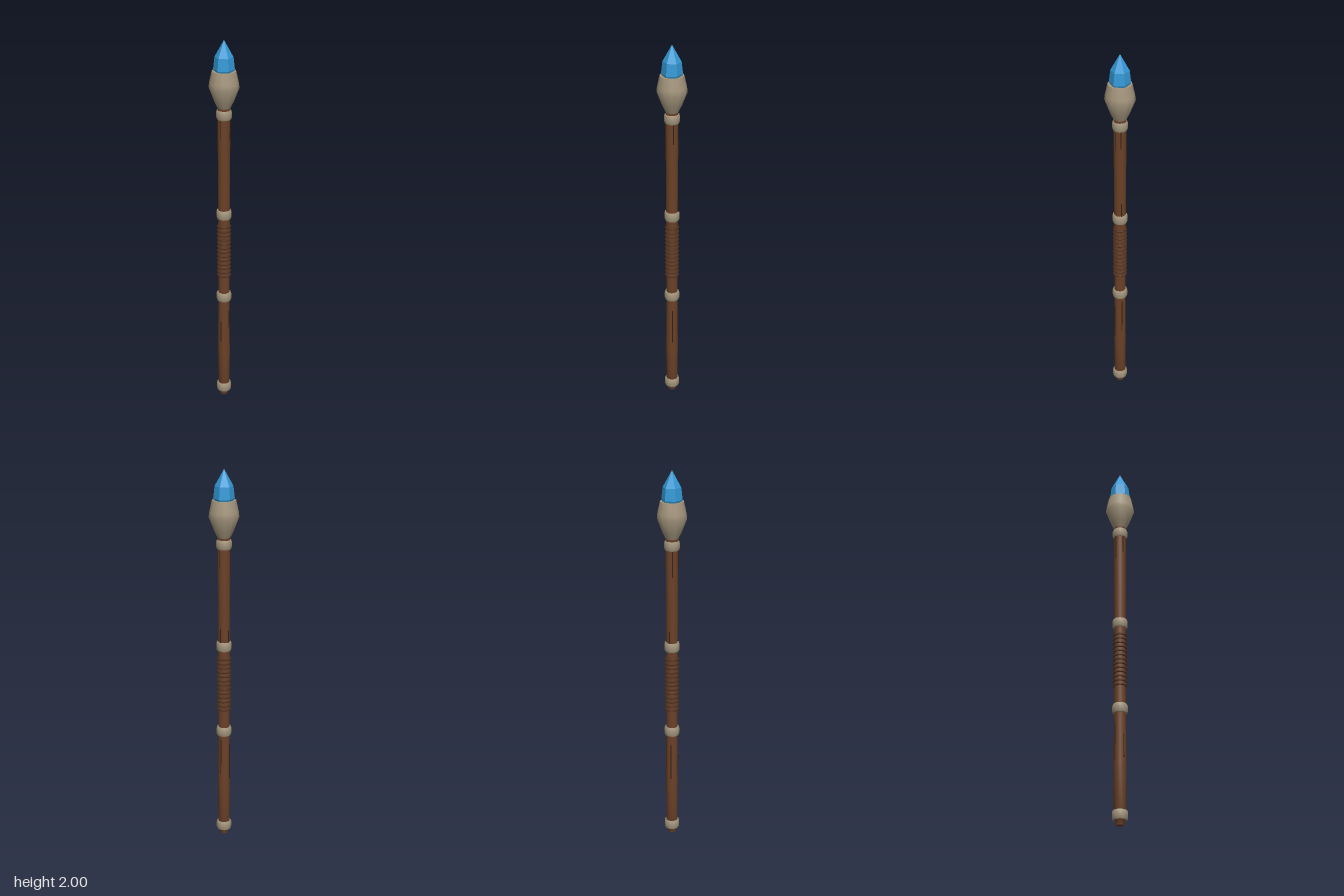
import * as THREE from 'three';
import { toCreasedNormals } from 'three/addons/utils/BufferGeometryUtils.js';

const material = (color, flatShading = false) => new THREE.MeshStandardMaterial({ color, flatShading });
const wood = material(0x6b4128);
const darkWood = material(0x3a2316);
const leather = material(0x54331f);
const bone = material(0xa3957c);
const crystalBlue = material(0x3399d6, true);

// Turned part from [radius, height] pairs, listed bottom to top
function turned(name, profile, sides, mat, crease = 0.7) {
  const points = profile.map(([r, y]) => new THREE.Vector2(r, y));
  const geometry = toCreasedNormals(new THREE.LatheGeometry(points, sides), crease);
  const mesh = new THREE.Mesh(geometry, mat);
  mesh.name = name;
  return mesh;
}

export function createModel() {
  const staff = new THREE.Group();
  staff.name = 'staff';

  // Shaft with a stepped foot
  staff.add(turned('shaft', [[0, 0], [0.021, 0], [0.024, 0.02], [0.031, 0.03], [0.032, 0.3],
    [0.03, 0.65], [0.03, 1.0], [0.031, 1.3], [0.033, 1.66], [0, 1.66]], 12, wood));

  // Bone collars
  for (const y of [0.05, 0.605, 1.08, 1.62]) {
    const collar = turned('collar', [[0.029, -0.024], [0.036, -0.024], [0.04, -0.014],
      [0.04, 0.014], [0.036, 0.024], [0.029, 0.024]], 12, bone);
    collar.position.y = y;
    staff.add(collar);
  }

  // Cord wrapped around the grip
  const grip = new THREE.Group();
  grip.name = 'gripWrap';
  const cordGeometry = new THREE.TorusGeometry(0.032, 0.005, 6, 16).rotateX(Math.PI / 2);
  for (let i = 0; i < 13; i++) {
    const cord = new THREE.Mesh(cordGeometry, leather);
    cord.name = 'cord';
    cord.position.y = 0.73 + i * 0.0235;
    grip.add(cord);
  }
  staff.add(grip);

  // Thin dark ridges of wood grain: [angle, centre height, length]
  const ridges = [[0.3, 1.55, 0.12], [1.3, 1.55, 0.1], [3.4, 1.53, 0.14], [4.7, 1.55, 0.1],
    [1.4, 1.13, 0.1], [2.9, 1.12, 0.1], [0.1, 0.42, 0.2], [1.45, 0.46, 0.2],
    [3.2, 0.43, 0.2], [4.8, 0.4, 0.12]];
  for (const [angle, y, length] of ridges) {
    const ridge = new THREE.Mesh(new THREE.CylinderGeometry(0.003, 0.003, length, 4), darkWood);
    ridge.name = 'grainRidge';
    ridge.position.set(Math.sin(angle) * 0.031, y, Math.cos(angle) * 0.031);
    staff.add(ridge);
  }

  // Bone socket holding the crystal
  staff.add(turned('socket', [[0, 1.655], [0.033, 1.655], [0.05, 1.69], [0.077, 1.76],
    [0.074, 1.785], [0.061, 1.845], [0.05, 1.845], [0, 1.835]], 12, bone, 1));

  // Six-sided crystal
  const crystal = turned('crystal', [[0, 1.82], [0.046, 1.835], [0.054, 1.853],
    [0.047, 1.915], [0, 2]], 6, crystalBlue, 0);
  crystal.rotation.y = Math.PI / 6;
  staff.add(crystal);

  return staff;
}
